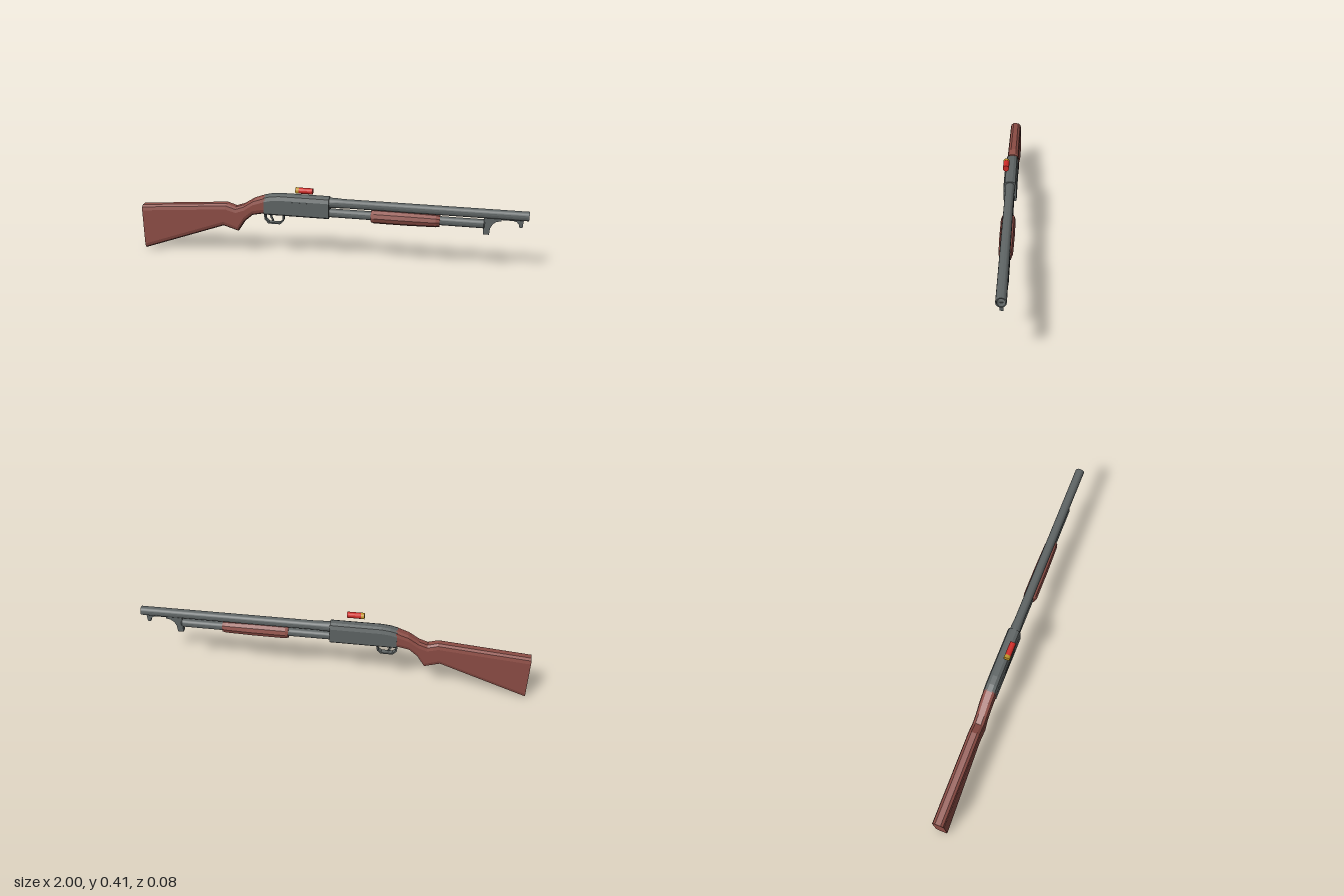
import * as THREE from 'three';
import { toCreasedNormals } from 'three/addons/utils/BufferGeometryUtils.js';

const metal = new THREE.MeshStandardMaterial({ color: 0x5f6565, flatShading: true });
const metalSmooth = new THREE.MeshStandardMaterial({ color: 0x5f6565 });
const wood = new THREE.MeshStandardMaterial({ color: 0x8e4e46, flatShading: true });
const red = new THREE.MeshStandardMaterial({ color: 0xd02a26 });
const brass = new THREE.MeshStandardMaterial({ color: 0xc09428 });

function part(group, name, geometry, material, x = 0, y = 0, z = 0) {
  const mesh = new THREE.Mesh(geometry, material);
  mesh.name = name;
  mesh.position.set(x, y, z);
  group.add(mesh);
  return mesh;
}

// Turned part along +x; profile is [x, radius] pairs
function turned(profile, sides) {
  const g = new THREE.LatheGeometry(profile.map(([x, r]) => new THREE.Vector2(r, x)), sides);
  return toCreasedNormals(g.rotateZ(-Math.PI / 2), 0.5);
}

// Loft of chamfered sections; each station is [topX, topY, bottomX, bottomY, halfWidth]
// chamfer lists [fraction of half width, depth from the edge], centre outwards
function loft(stations, topChamfer, bottomChamfer) {
  const pos = [], idx = [];
  let n = 0;
  for (const [tx, ty, bx, by, w] of stations) {
    const side = [
      ...bottomChamfer.map(([f, d]) => [f * w, by + d]),
      ...topChamfer.map(([f, d]) => [f * w, ty - d]).reverse(),
    ];
    const ring = [...side, ...side.map(([z, y]) => [-z, y]).reverse()];
    n = ring.length;
    for (const [z, y] of ring) pos.push(bx + (tx - bx) * (y - by) / (ty - by), y, z);
  }
  const last = (stations.length - 1) * n;
  for (let s = 0; s < last; s += n) {
    for (let j = 0; j < n; j++) {
      const k = (j + 1) % n;
      idx.push(s + j, s + n + j, s + k, s + n + j, s + n + k, s + k);
    }
  }
  for (let j = 1; j < n - 1; j++) idx.push(0, j, j + 1, last, last + j + 1, last + j);
  const g = new THREE.BufferGeometry();
  g.setAttribute('position', new THREE.Float32BufferAttribute(pos, 3));
  g.setIndex(idx);
  g.computeVertexNormals();
  return g;
}

// Flat plate in the xy plane, centred on z
function plate(points, width, hole) {
  const toVec = (p) => new THREE.Vector2(p[0], p[1]);
  const shape = new THREE.Shape(points.map(toVec));
  if (hole) shape.holes.push(new THREE.Path(hole.map(toVec)));
  return new THREE.ExtrudeGeometry(shape, { depth: width, bevelEnabled: false }).translate(0, 0, -width / 2);
}

export function createModel() {
  const model = new THREE.Group();
  model.name = 'pumpShotgun';

  // Butt stock and grip
  const soft = [[0.45, 0], [0.85, 0.009], [1, 0.027]];
  part(model, 'stock', loft([
    [-1, 0.25, -1, 0.002, 0.031],
    [-0.535, 0.29, -0.555, 0.165, 0.031],
    [-0.485, 0.274, -0.475, 0.14, 0.031],
    [-0.44, 0.29, -0.437, 0.2, 0.031],
    [-0.385, 0.325, -0.395, 0.237, 0.032],
    [-0.325, 0.347, -0.325, 0.252, 0.033],
  ], soft, soft), wood);

  // Receiver with the ejection port cover on its left
  part(model, 'receiver', loft([
    [-0.33, 0.346, -0.33, 0.25, 0.0335],
    [-0.295, 0.355, -0.295, 0.25, 0.0335],
    [-0.25, 0.36, -0.25, 0.25, 0.0335],
    [0.01, 0.36, 0.01, 0.25, 0.0335],
  ], [[0.35, 0], [0.78, 0.007], [1, 0.027]], [[0.85, 0], [1, 0.006]]), metal);
  part(model, 'ejectionPort', new THREE.BoxGeometry(0.13, 0.034, 0.004), metal, -0.145, 0.311, 0.0325);

  // Barrel with an open muzzle, and the magazine tube below it
  part(model, 'barrel', turned([
    [0, 0], [0, 0.0265], [0.05, 0.0255], [0.08, 0.0235], [1, 0.0235], [1, 0.0185], [0.95, 0.0185], [0.95, 0],
  ], 16), metalSmooth, 0, 0.329);
  part(model, 'magazineTube', turned([
    [0, 0], [0, 0.0225], [0.785, 0.0225], [0.79, 0.019], [0.79, 0],
  ], 16), metalSmooth, 0, 0.274);

  // Sliding fore-end
  part(model, 'foreEnd', turned([
    [0.225, 0.02], [0.225, 0.031], [0.24, 0.036], [0.4, 0.036], [0.55, 0.033], [0.57, 0.029], [0.57, 0.02],
  ], 10), wood, 0, 0.272);

  // Lugs under the barrel
  part(model, 'rearLug', plate([
    [0.785, 0.315], [0.785, 0.222], [0.815, 0.222], [0.817, 0.255], [0.828, 0.279],
    [0.845, 0.293], [0.87, 0.299], [0.87, 0.315],
  ], 0.025), metal);
  part(model, 'frontLug', plate([
    [0.92, 0.315], [0.92, 0.305], [0.943, 0.298], [0.955, 0.285], [0.957, 0.27],
    [0.973, 0.27], [0.976, 0.315],
  ], 0.016), metal);
  part(model, 'lugStrip', new THREE.BoxGeometry(0.08, 0.012, 0.016), metal, 0.895, 0.309, 0);

  // Trigger guard and trigger
  part(model, 'triggerGuard', plate(
    [[-0.336, 0.256], [-0.332, 0.215], [-0.312, 0.194], [-0.25, 0.194], [-0.231, 0.212], [-0.225, 0.256]],
    0.026,
    [[-0.328, 0.252], [-0.325, 0.218], [-0.309, 0.201], [-0.253, 0.201], [-0.238, 0.215], [-0.233, 0.252]],
  ), metal);
  part(model, 'trigger', plate([
    [-0.305, 0.255], [-0.303, 0.228], [-0.293, 0.209], [-0.285, 0.209], [-0.295, 0.23], [-0.293, 0.255],
  ], 0.01), metal);

  // Loose shell above the receiver
  const shell = new THREE.Group();
  shell.name = 'shell';
  shell.position.set(-0.16, 0.393, 0.024);
  part(shell, 'shellBase', turned([[0, 0], [0, 0.016], [0.018, 0.016], [0.018, 0]], 20), brass);
  part(shell, 'shellCase', turned([[0.018, 0], [0.018, 0.0155], [0.088, 0.0155], [0.088, 0]], 20), red);
  model.add(shell);

  return model;
}
